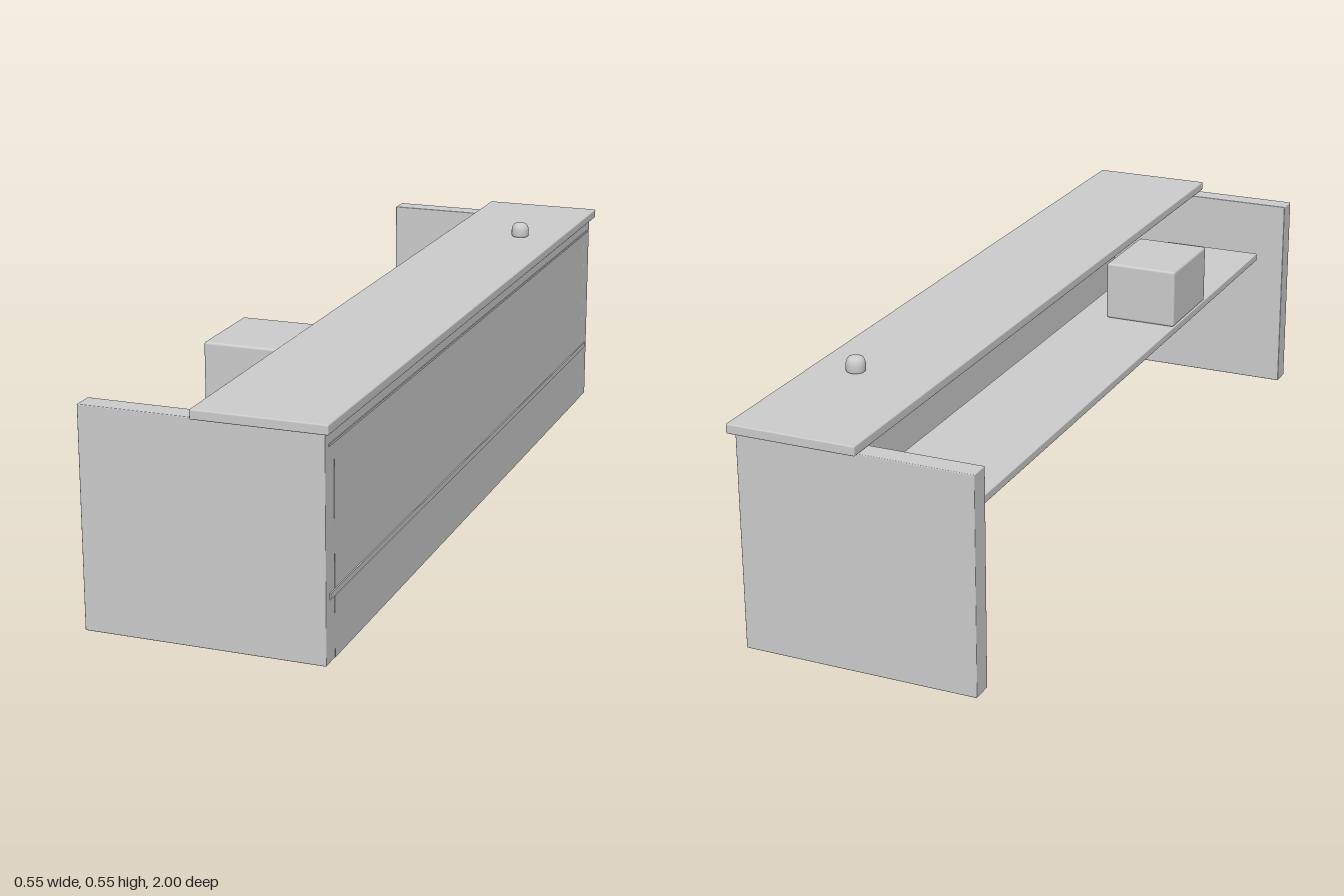
import * as THREE from 'three';
import { RoundedBoxGeometry } from 'three/addons/geometries/RoundedBoxGeometry.js';

const material = new THREE.MeshStandardMaterial({ color: 0xcccccc });

// Box given by its [min, max] extents; bevel softens its edges
function box(name, [x0, x1], [y0, y1], [z0, z1], bevel = 0) {
  const size = [x1 - x0, y1 - y0, z1 - z0];
  const geometry = bevel
    ? new RoundedBoxGeometry(...size, 2, bevel)
    : new THREE.BoxGeometry(...size);
  const mesh = new THREE.Mesh(geometry, material);
  mesh.name = name;
  mesh.position.set((x0 + x1) / 2, (y0 + y1) / 2, (z0 + z1) / 2);
  return mesh;
}

export function createModel() {
  const group = new THREE.Group();
  group.name = 'serviceCounter';

  // Carcass: long customer-side panel and two end panels
  group.add(box('frontPanel', [0.208, 0.262], [0, 0.495], [-0.935, 0.935]));
  group.add(box('leftEndPanel', [-0.277, 0.262], [0, 0.495], [0.935, 0.985], 0.002));
  group.add(box('rightEndPanel', [-0.277, 0.262], [0, 0.495], [-0.985, -0.935], 0.002));

  // Overhanging transaction top
  group.add(box('counterTop', [-0.021, 0.275], [0.495, 0.517], [-1, 1], 0.003));

  // Lower work surface on the staff side
  group.add(box('workSurface', [-0.21, 0.045], [0.343, 0.362], [-0.92, 0.918], 0.002));

  // Block standing on the work surface
  group.add(box('deskUnit', [-0.209, -0.031], [0.362, 0.504], [0.29, 0.511], 0.006));

  // Thin trim strips along the customer side
  group.add(box('upperTrim', [0.26, 0.264], [0.461, 0.466], [-0.965, 0.965]));
  group.add(box('lowerTrim', [0.26, 0.265], [0.138, 0.151], [-0.965, 0.965]));

  // Service bell: rounded base with a domed cap
  const profile = [
    [0, 0.517], [0.02, 0.517], [0.022, 0.521], [0.022, 0.533], [0.021, 0.539],
    [0.0195, 0.544], [0.016, 0.549], [0.01, 0.5515], [0, 0.552],
  ].map(([r, y]) => new THREE.Vector2(r, y));
  const bell = new THREE.Mesh(new THREE.LatheGeometry(profile, 24), material);
  bell.name = 'bell';
  bell.position.set(0.172, 0, -0.632);
  group.add(bell);

  return group;
}
